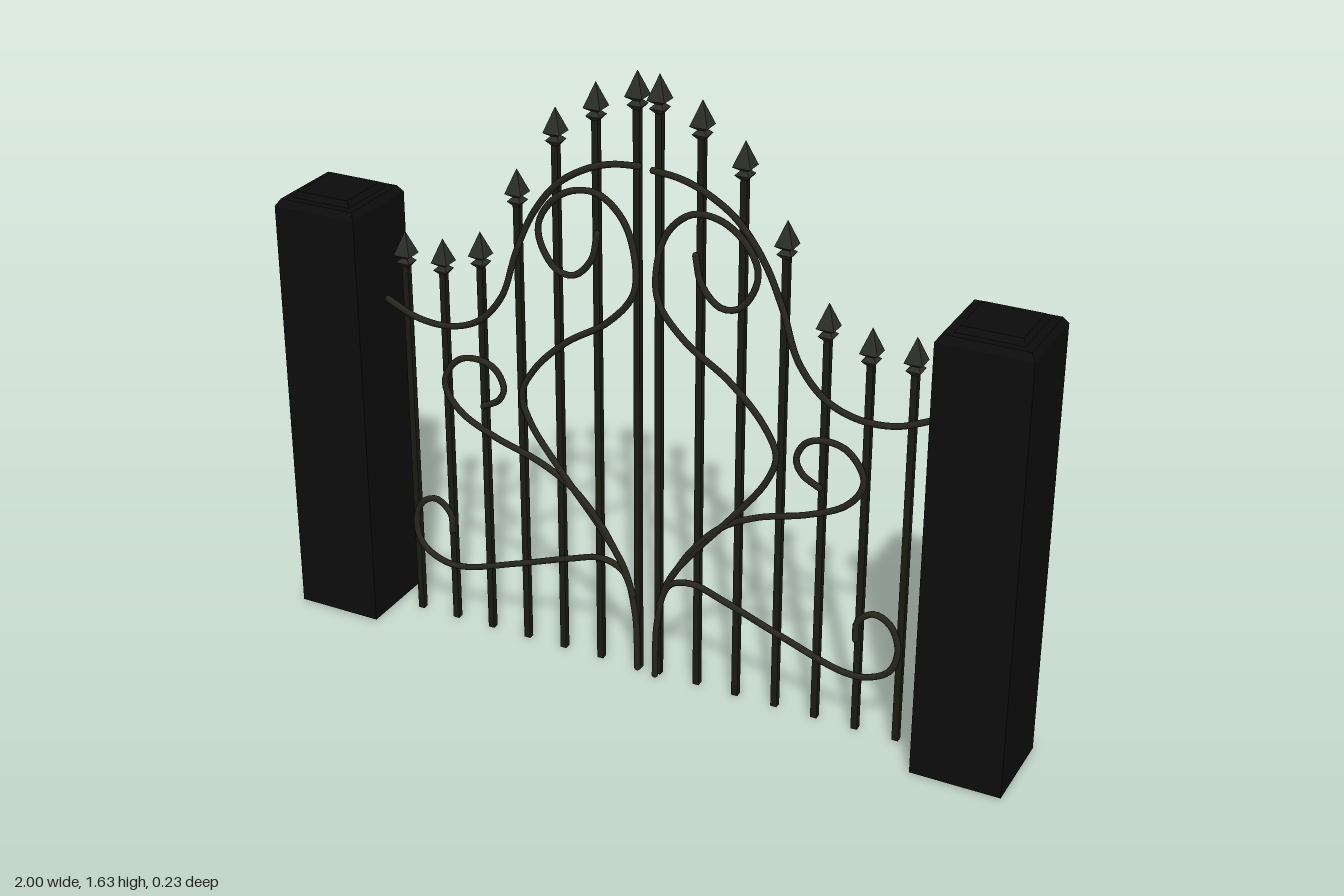
import * as THREE from 'three';

const ironBlack = new THREE.MeshStandardMaterial({ color: 0x1a1b12 });
const scrollIron = new THREE.MeshStandardMaterial({ color: 0x26261c });
const spearIron = new THREE.MeshStandardMaterial({ color: 0x2b2d27 });
const pillarBlack = new THREE.MeshStandardMaterial({ color: 0x0c0c0c });

// Four-sided solid from a profile of [half width, height], bottom to top
function squareLathe(profile) {
  const points = profile.map(([w, y]) => new THREE.Vector2(w * Math.SQRT2, y));
  const geometry = new THREE.LatheGeometry(points, 4).rotateY(Math.PI / 4).toNonIndexed();
  geometry.computeVertexNormals();
  return geometry;
}

function add(parent, name, geometry, material, x = 0, y = 0, z = 0) {
  const mesh = new THREE.Mesh(geometry, material);
  mesh.name = name;
  mesh.position.set(x, y, z);
  parent.add(mesh);
}

const pillarGeometry = squareLathe([
  [0, 0], [0.117, 0], [0.117, 1.152], [0.105, 1.17], [0.084, 1.17], [0.074, 1.185], [0, 1.185],
]);
const spearGeometry = squareLathe([
  [0, -0.095], [0.009, -0.095], [0.019, -0.083], [0.009, -0.073], [0.023, -0.063], [0, 0],
]);

// Spear tip heights, from the middle of the gate outward
const tipHeights = [1.625, 1.58, 1.5, 1.325, 1.14, 1.1, 1.1];

// Scroll paths for the +x leaf
const scrolls = {
  topRail: [[0.742, 0.907], [0.655, 0.872], [0.56, 0.868], [0.475, 0.9], [0.405, 0.98], [0.36, 1.11],
    [0.31, 1.22], [0.24, 1.31], [0.16, 1.362], [0.09, 1.386], [0.022, 1.393]],
  heartScroll: [[0.134, 1.2], [0.15, 1.13], [0.198, 1.08], [0.246, 1.085], [0.289, 1.145], [0.294, 1.2],
    [0.257, 1.262], [0.198, 1.3], [0.128, 1.303], [0.064, 1.25], [0.032, 1.155], [0.037, 1.06],
    [0.107, 0.973], [0.225, 0.893], [0.316, 0.8], [0.353, 0.722], [0.33, 0.647], [0.24, 0.524],
    [0.13, 0.39], [0.064, 0.29], [0.034, 0.166], [0.028, 0.005]],
  middleScroll: [[0.468, 0.663], [0.422, 0.69], [0.406, 0.727], [0.43, 0.775], [0.48, 0.792],
    [0.535, 0.78], [0.577, 0.727], [0.577, 0.685], [0.535, 0.63], [0.44, 0.583], [0.305, 0.54],
    [0.21, 0.487], [0.13, 0.4], [0.075, 0.31]],
  lowerScroll: [[0.577, 0.27], [0.58, 0.32], [0.622, 0.354], [0.665, 0.335], [0.688, 0.273],
    [0.67, 0.205], [0.61, 0.17], [0.545, 0.168], [0.385, 0.22], [0.225, 0.278], [0.13, 0.305],
    [0.07, 0.285], [0.04, 0.22]],
};

function createLeaf(side) {
  const leaf = new THREE.Group();
  leaf.name = side > 0 ? 'leftLeaf' : 'rightLeaf';

  // Upright bars with spear heads
  tipHeights.forEach((tip, i) => {
    const x = side * (0.029 + i * 0.1098);
    const height = tip - 0.08;
    add(leaf, 'bar', new THREE.BoxGeometry(0.017, height, 0.017), ironBlack, x, height / 2, 0);
    add(leaf, 'spearHead', spearGeometry, spearIron, x, tip, 0);
  });

  // Bent scrollwork on the front of the bars
  const z = side > 0 ? 0.021 : 0.011;
  for (const [name, path] of Object.entries(scrolls)) {
    const curve = new THREE.CatmullRomCurve3(path.map(([x, y]) => new THREE.Vector3(side * x, y, z)));
    add(leaf, name, new THREE.TubeGeometry(curve, path.length * 6, 0.0085, 8), scrollIron);
    // Closed ends
    for (const t of [0, 1]) {
      const end = curve.getPoint(t);
      add(leaf, name + 'End', new THREE.SphereGeometry(0.0085, 8, 6), scrollIron, end.x, end.y, end.z);
    }
  }
  leaf.position.x = -0.003;
  return leaf;
}

export function createModel() {
  const gate = new THREE.Group();
  gate.name = 'gate';
  for (const side of [1, -1]) {
    add(gate, side > 0 ? 'leftPillar' : 'rightPillar', pillarGeometry, pillarBlack, side * 0.883);
    gate.add(createLeaf(side));
  }
  return gate;
}
